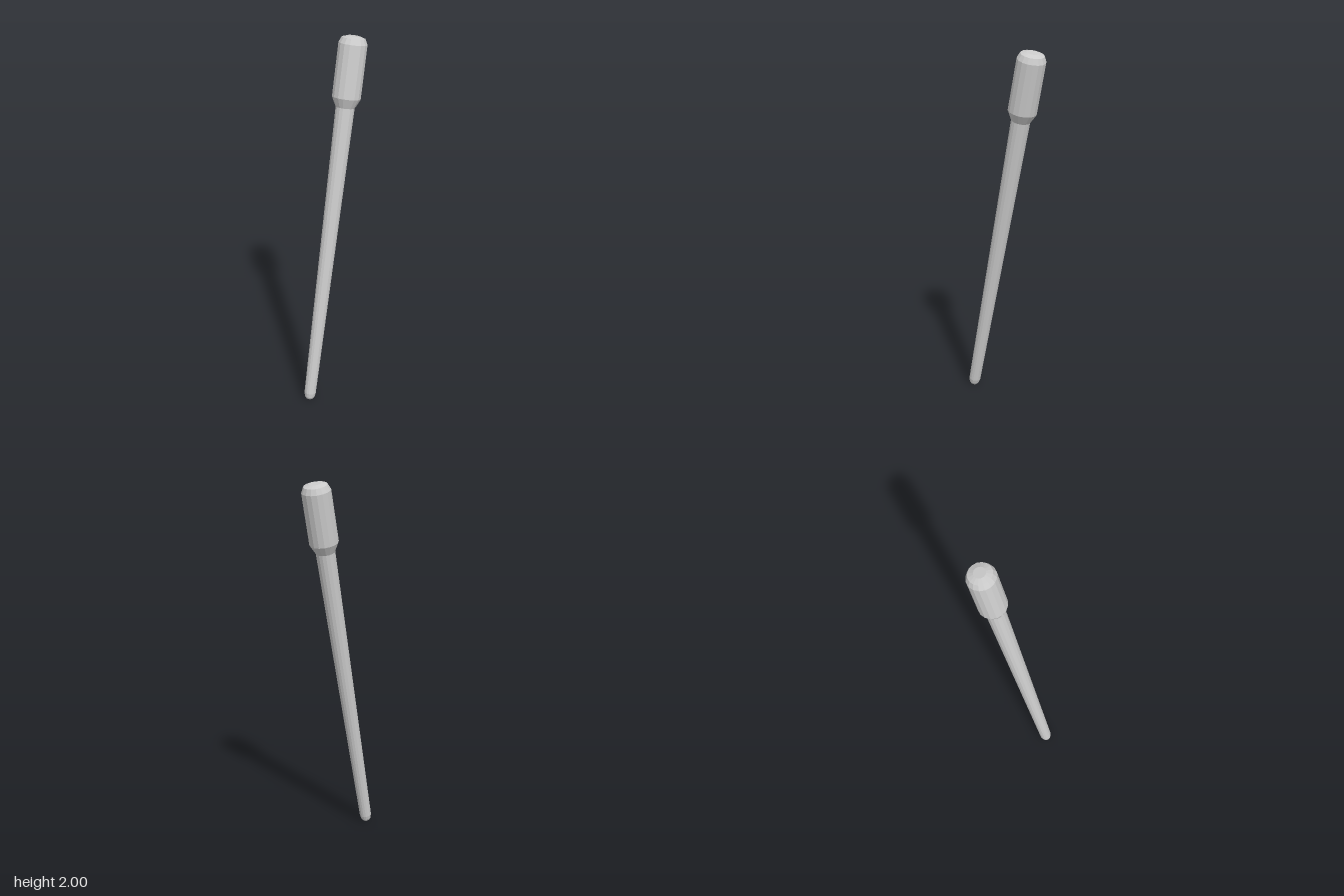
import * as THREE from 'three';

const SIDES = 16;
const TILT = THREE.MathUtils.degToRad(11.68);

export function createModel() {
  const root = new THREE.Group();
  root.name = 'tiltedStick';
  const material = new THREE.MeshStandardMaterial({ color: 0xcccccc, flatShading: true });

  // Turned part from [radius, distance along the axis] pairs, bottom to top
  const turned = (name, profile) => {
    const points = profile.map(([r, s]) => new THREE.Vector2(r, s));
    const mesh = new THREE.Mesh(new THREE.LatheGeometry(points, SIDES), material);
    mesh.name = name;
    root.add(mesh);
  };

  // Rounded foot and tapering shaft
  turned('shaft', [[0, 0], [0.018, 0], [0.027, 0.012], [0.032, 0.035], [0.051, 1.655]]);

  // Flared grip with a bevelled, slightly domed cap
  turned('grip', [[0.051, 1.655], [0.077, 1.707], [0.077, 1.99], [0.063, 2.02], [0.032, 2.03], [0, 2.03]]);

  // Lean the whole stick towards +x, foot resting on the ground
  root.rotation.z = -TILT;
  root.position.set(-0.226, 0.004, 0);

  const model = new THREE.Group();
  model.name = 'stick';
  model.add(root);
  return model;
}
